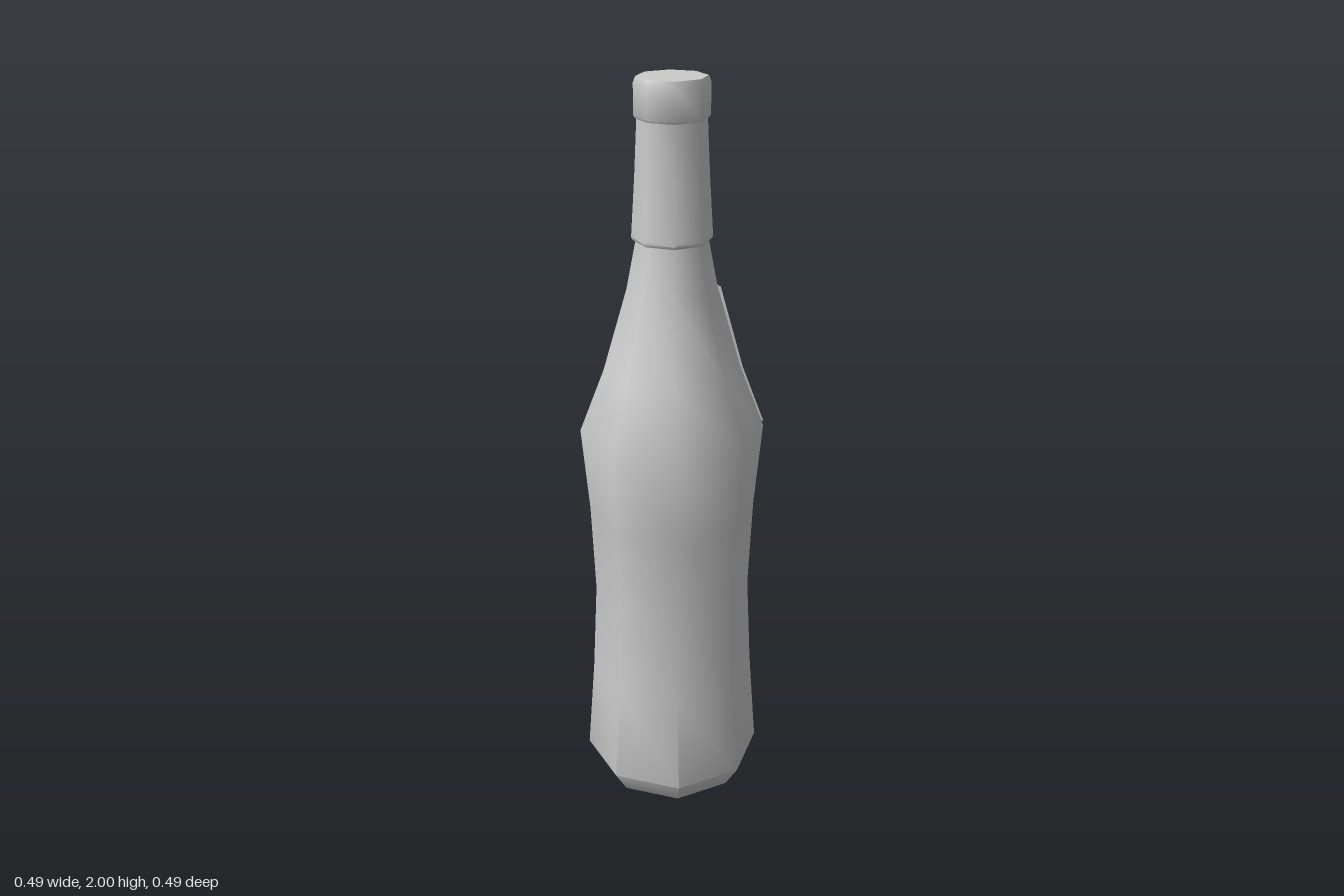
import * as THREE from 'three';
import { toCreasedNormals } from 'three/addons/utils/BufferGeometryUtils.js';

const SIDES = 8;
const material = new THREE.MeshStandardMaterial({ color: 0xcccccc });
const sheetMaterial = new THREE.MeshStandardMaterial({ color: 0xcccccc, side: THREE.DoubleSide });

// Eight-sided turned part from [radius, height] pairs, bottom to top
function turned(name, profile) {
  const points = profile.map(([r, y]) => new THREE.Vector2(r, y));
  // Enlarged while creasing so that close vertices stay distinct
  const lathe = new THREE.LatheGeometry(points, SIDES).scale(100, 100, 100);
  const geometry = toCreasedNormals(lathe, 0.9).scale(0.01, 0.01, 0.01);
  const mesh = new THREE.Mesh(geometry, material);
  mesh.name = name;
  return mesh;
}

export function createModel() {
  const bottle = new THREE.Group();
  bottle.name = 'bottle';

  // Waisted body, sloping shoulder and neck
  bottle.add(turned('body', [
    [0, 0], [0.185, 0], [0.203, 0.012], [0.245, 0.08], [0.225, 0.35],
    [0.213, 0.6], [0.224, 0.85], [0.245, 1.08], [0.18, 1.25],
    [0.117, 1.47], [0.092, 1.6], [0.082, 1.7],
  ]));

  // Tapering sleeve around the neck, with a rolled lower lip
  bottle.add(turned('neckSleeve', [
    [0.088, 1.597], [0.1, 1.597], [0.104, 1.604], [0.103, 1.615],
    [0.094, 1.76], [0.087, 1.91],
  ]));

  // Cap
  bottle.add(turned('cap', [
    [0.08, 1.9], [0.091, 1.9], [0.095, 1.907], [0.095, 1.985], [0.089, 2], [0, 2],
  ]));

  // Thin label over the two shoulder facets on the +x side
  const labelProfile = [[0.246, 1.09], [0.186, 1.25], [0.125, 1.47]]
    .map(([r, y]) => new THREE.Vector2(r, y));
  const labelGeometry = new THREE.LatheGeometry(labelProfile, 2, Math.PI / 4, Math.PI / 2);
  labelGeometry.computeVertexNormals();
  const label = new THREE.Mesh(labelGeometry, sheetMaterial);
  label.name = 'shoulderLabel';
  bottle.add(label);

  return bottle;
}
